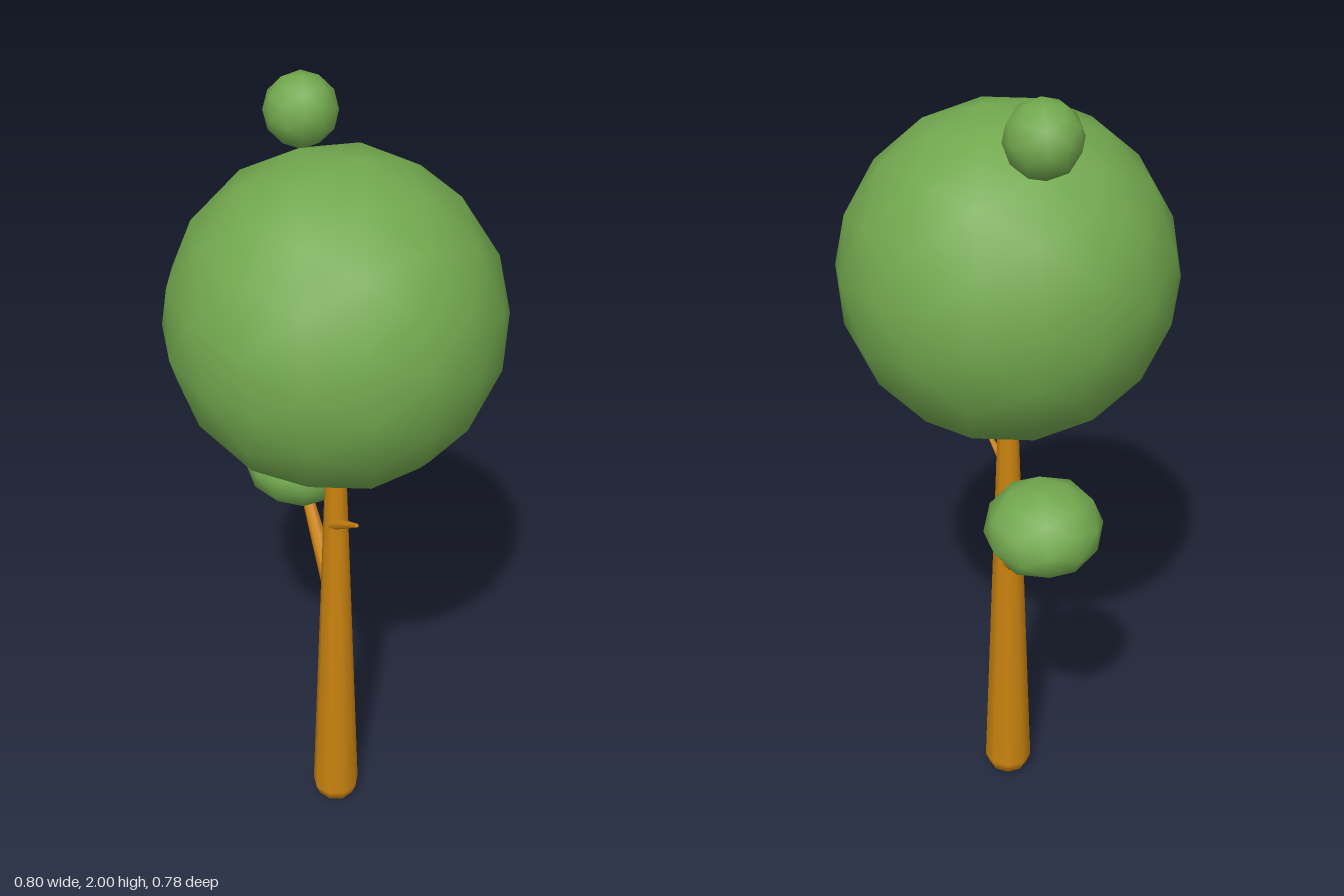
import * as THREE from 'three';

const bark = new THREE.MeshStandardMaterial({ color: 0xc9820f });
const leaf = new THREE.MeshStandardMaterial({ color: 0x72a84e });

function add(group, name, geometry, material) {
  const mesh = new THREE.Mesh(geometry, material);
  mesh.name = name;
  group.add(mesh);
  return mesh;
}

// Low-poly ball of leaves
function foliage(group, name, detail, position, scale, rotation) {
  const ball = add(group, name, new THREE.IcosahedronGeometry(1, detail), leaf);
  ball.position.set(...position);
  ball.scale.set(...scale);
  ball.rotation.set(...rotation);
}

// Tapered limb between two points
function limb(group, name, from, to, r0, r1) {
  const a = new THREE.Vector3(...from);
  const b = new THREE.Vector3(...to);
  const dir = b.clone().sub(a);
  const mesh = add(group, name, new THREE.CylinderGeometry(r1, r0, dir.length(), 7), bark);
  mesh.position.copy(a).add(b).multiplyScalar(0.5);
  mesh.quaternion.setFromUnitVectors(new THREE.Vector3(0, 1, 0), dir.normalize());
}

export function createModel() {
  const tree = new THREE.Group();
  tree.name = 'tree';

  // Trunk with a bevelled foot and closed top
  const profile = [[0, 0], [0.05, 0.008], [0.062, 0.04], [0.024, 1.15], [0, 1.15]]
    .map(([r, y]) => new THREE.Vector2(r, y));
  add(tree, 'trunk', new THREE.LatheGeometry(profile, 9), bark);

  // Back branch and front twig
  limb(tree, 'backBranch', [0, 0.69, -0.015], [0, 0.91, -0.245], 0.026, 0.013);
  limb(tree, 'frontTwig', [-0.012, 0.93, 0.01], [0.008, 0.993, 0.12], 0.016, 0.005);

  // Crown, branch cluster and top tuft
  foliage(tree, 'crown', 2, [0, 1.503, 0], [0.4, 0.4, 0.4], [0.1, 0.2, 0.08]);
  foliage(tree, 'branchFoliage', 1, [0, 0.945, -0.247], [0.143, 0.104, 0.143], [-0.15, 0.3, -0.1]);
  foliage(tree, 'topFoliage', 1, [0.01, 1.914, -0.245], [0.088, 0.088, 0.088], [0.2, 0.3, 0]);

  return tree;
}
